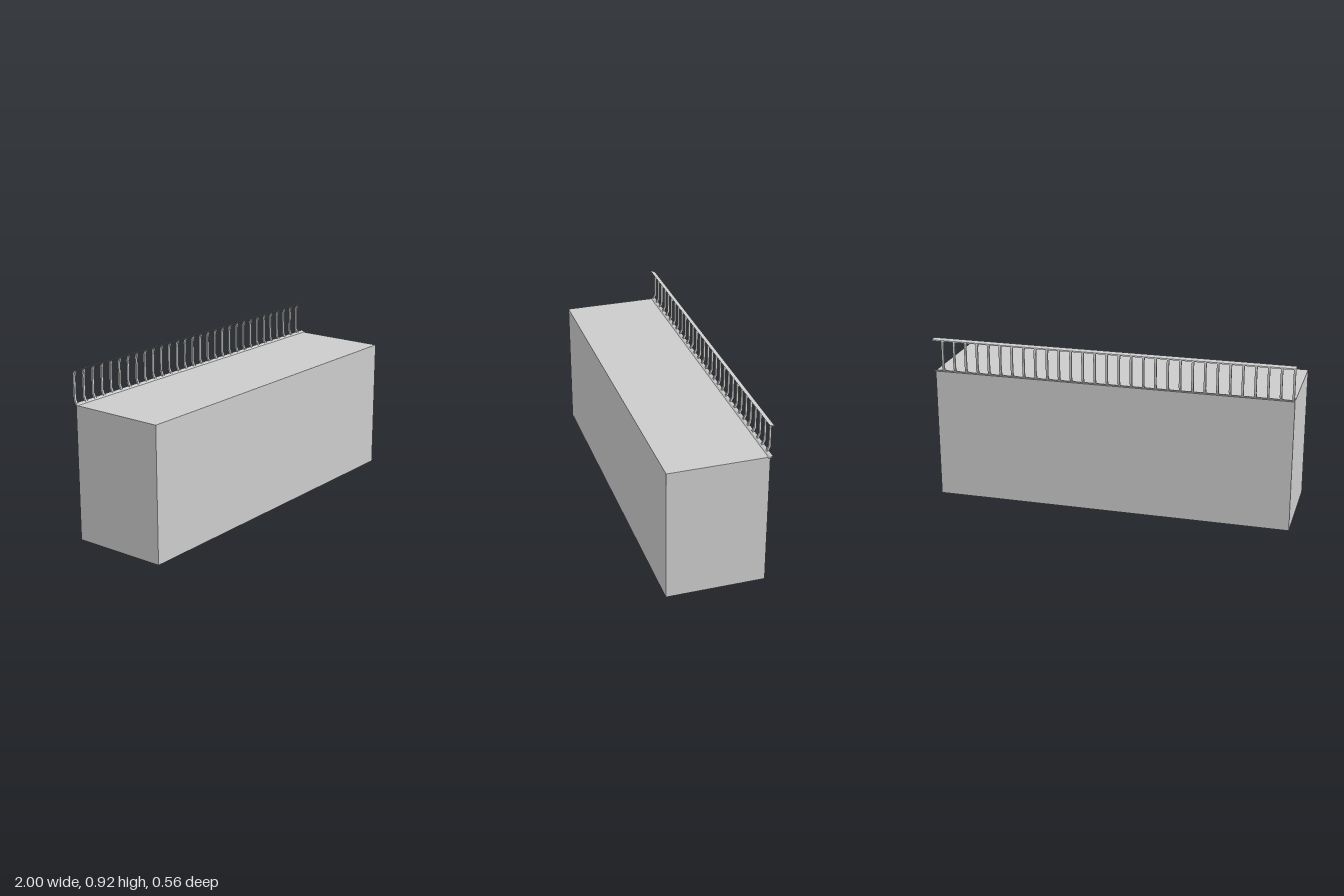
import * as THREE from 'three';

const material = new THREE.MeshStandardMaterial({ color: 0xcccccc, flatShading: true, side: THREE.DoubleSide });

// Extrude a [z, y] outline along x, from x0 to x1
function extrudeAlongX(name, outline, x0, x1) {
  const shape = new THREE.Shape(outline.map(([z, y]) => new THREE.Vector2(-z, y)));
  const geometry = new THREE.ExtrudeGeometry(shape, { depth: x1 - x0, bevelEnabled: false });
  geometry.rotateY(Math.PI / 2);
  const mesh = new THREE.Mesh(geometry, material);
  mesh.name = name;
  mesh.position.x = x0;
  return mesh;
}

export function createModel() {
  const model = new THREE.Group();
  model.name = 'blockWithRailing';

  // Solid base block, slightly shorter than the railing on the left
  const block = new THREE.Mesh(new THREE.BoxGeometry(1.992, 0.737, 0.537), material);
  block.name = 'block';
  block.position.set(-0.004, 0.3685, 0.0115);
  model.add(block);

  // Railing along the back edge
  const railing = new THREE.Group();
  railing.name = 'railing';
  railing.add(
    extrudeAlongX('topRail', [[-0.242, 0.923], [-0.268, 0.916], [-0.272, 0.911], [-0.256, 0.913]], -1, 1),
    extrudeAlongX('bottomRail', [[-0.244, 0.735], [-0.254, 0.742], [-0.268, 0.745], [-0.257, 0.733], [-0.246, 0.732]], -1, 1),
  );

  // Bars with bent ends, evenly spaced
  const barOutline = [
    [-0.254, 0.742], [-0.266, 0.768], [-0.266, 0.883], [-0.258, 0.914],
    [-0.271, 0.912], [-0.276, 0.888], [-0.276, 0.765], [-0.267, 0.744],
  ];
  const barWidth = 0.012;
  for (let i = 0; i < 30; i++) {
    const x = -1 + i / 15;
    railing.add(extrudeAlongX('bar', barOutline, x, x + barWidth));
  }
  model.add(railing);
  return model;
}
